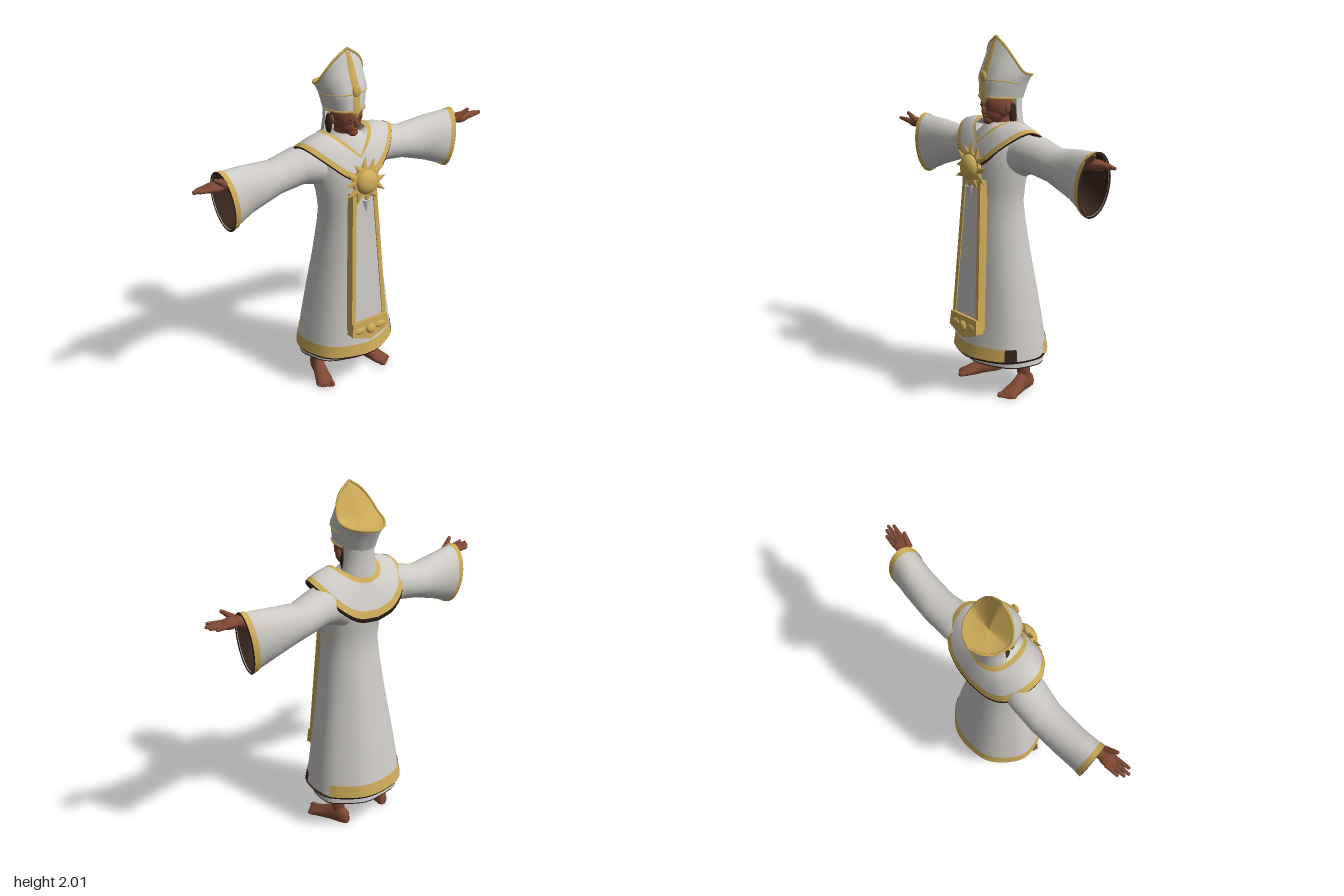
import * as THREE from 'three';

const mat = (name, color) => new THREE.MeshStandardMaterial({ name, color, side: THREE.DoubleSide });
const V = (x, y, z) => new THREE.Vector3(x, y, z);

// Skin a stack of cross-section rings, each an array of points
function loft(rings, closed = true) {
  const n = rings[0].length, idx = [];
  const pos = rings.flat().flatMap(p => [p.x, p.y, p.z]);
  for (let i = 0; i < rings.length - 1; i++) {
    for (let j = 0; j < (closed ? n : n - 1); j++) {
      const k = (j + 1) % n, a = i * n + j, b = i * n + k, c = b + n, d = a + n;
      idx.push(a, b, c, a, c, d);
    }
  }
  const g = new THREE.BufferGeometry();
  g.setAttribute('position', new THREE.Float32BufferAttribute(pos, 3));
  g.setIndex(idx);
  g.computeVertexNormals();
  return g;
}

// Horizontal ring from height, half width, front z and back z, with soft folds
function ring([y, rx, zf, zb, fold = 0], inset = 0, n = 48) {
  return Array.from({ length: n }, (_, j) => {
    const a = j / n * Math.PI * 2, f = 1 + fold * Math.sin(a * 7 + 1);
    return V((rx - inset) * f * Math.sin(a), y, (zf + zb) / 2 + ((zf - zb) / 2 - inset) * f * Math.cos(a));
  });
}

// Upright ring round a sleeve from x, slant, top, bottom, front z, back z and forward cut
function sleeveRing([x, slant, top, bot, zf, zb, cut = 0], inset = 0, n = 28) {
  return Array.from({ length: n }, (_, j) => {
    const a = j / n * Math.PI * 2, c = Math.cos(a), s = Math.sin(a);
    return V(x + slant * c - cut * s, (top + bot) / 2 + ((top - bot) / 2 - inset) * c,
      (zf + zb) / 2 + ((zf - zb) / 2 - inset) * s);
  });
}

// Symmetric closed ring from points running front to back on the left side
function mirrorRing(points, n = 24) {
  const half = new THREE.CatmullRomCurve3(points.map(p => V(...p)));
  const left = Array.from({ length: n + 1 }, (_, i) => half.getPoint(i / n));
  return [...left, ...left.slice(1, n).reverse().map(p => V(-p.x, p.y, p.z))];
}

const mixRings = (A, B, t, lift = 0) => A.map((p, i) => p.clone().lerp(B[i], t).add(V(0, lift, 0)));
const frontHalf = r => [...r.slice(-13), ...r.slice(0, 14)];

export function createModel() {
  const root = new THREE.Group();
  root.name = 'robedFigure';
  const white = mat('white cloth', 0xcdcac6), gold = mat('gold trim', 0xcdaa57);
  const skin = mat('brown skin', 0x7e4833), lining = mat('dark lining', 0x38251d);

  const add = (parent, name, geo, material, p = [0, 0, 0], s = [1, 1, 1]) => {
    const m = new THREE.Mesh(geo, material);
    m.name = name;
    m.position.set(...p);
    m.scale.set(...s);
    parent.add(m);
    return m;
  };
  const ball = (parent, name, material, p, s) => add(parent, name, new THREE.SphereGeometry(1, 20, 14), material, p, s);
  // Tapered round bar between two points, with a rounded far end
  const bar = (parent, name, material, a, b, ra, rb) => {
    const A = V(...a), B = V(...b), d = B.clone().sub(A);
    const m = add(parent, name, new THREE.CylinderGeometry(rb, ra, d.length(), 12), material);
    m.position.copy(A).lerp(B, 0.5);
    m.quaternion.setFromUnitVectors(V(0, 1, 0), d.normalize());
    ball(parent, name + 'Tip', material, b, [rb, rb, rb]);
  };
  const piping = (parent, name, pts, r, closed) => add(parent, name,
    new THREE.TubeGeometry(new THREE.CatmullRomCurve3(pts, closed, 'centripetal'), 96, r, 6, closed), gold);

  // Robe, underskirt and their dark insides
  const robe = [
    [0.235, 0.288, 0.232, -0.268, 0.012], [0.3, 0.28, 0.22, -0.255, 0.012], [0.42, 0.265, 0.205, -0.235, 0.012],
    [0.6, 0.236, 0.19, -0.205, 0.01], [0.8, 0.203, 0.178, -0.17, 0.008], [1.0, 0.177, 0.165, -0.137],
    [1.1, 0.171, 0.16, -0.124], [1.2, 0.182, 0.158, -0.132], [1.3, 0.2, 0.157, -0.155], [1.4, 0.2, 0.14, -0.16],
    [1.46, 0.17, 0.112, -0.14], [1.51, 0.1, 0.085, -0.11], [1.54, 0.06, 0.06, -0.07]];
  add(root, 'robe', loft(robe.map(r => ring(r))), white);
  add(root, 'robeLining', loft(robe.slice(0, 10).map(r => ring(r, 0.008))), lining);
  const under = [[0.178, 0.268, 0.175, -0.245, 0.02], [0.4, 0.245, 0.17, -0.215, 0.01]];
  add(root, 'underskirt', loft(under.map(r => ring(r))), white);
  add(root, 'underskirtLining', loft(under.map(r => ring(r, 0.007))), lining);
  add(root, 'underskirtEdge', loft([ring(under[0], 0.007), ring([0.172, ...under[0].slice(1)]), ring(under[0])]), lining);

  // Hem band: gold round most of the robe, a dark patch and a plain stretch on the left
  const hem = [[0.228, 0.29, 0.234, -0.27, 0.012], [0.297, 0.281, 0.221, -0.256, 0.012]].map(r => ring(r, -0.004));
  const arc = (from, to) => loft(hem.map(r => [...r, ...r].slice(from, to + 1)), false);
  add(root, 'goldHem', arc(15, 55), gold);
  add(root, 'darkHemPatch', arc(7, 9), lining);
  add(root, 'hemUnderside', loft([ring([0.212, 0.262, 0.2, -0.235]), ring([0.214, 0.286, 0.229, -0.265, 0.012]), hem[0]]), lining);

  // Shoulder mantle with gold edges and a thick dark underside
  const outer = mirrorRing([[0, 1.3, 0.18], [0.1, 1.345, 0.178], [0.21, 1.44, 0.125], [0.29, 1.51, 0.02],
    [0.285, 1.475, -0.08], [0.225, 1.385, -0.17], [0.125, 1.315, -0.205], [0, 1.295, -0.216]]);
  const inner = mirrorRing([[0, 1.435, 0.143], [0.045, 1.485, 0.118], [0.085, 1.525, 0.085], [0.108, 1.545, 0.03],
    [0.115, 1.545, -0.035], [0.1, 1.53, -0.09], [0.06, 1.51, -0.13], [0, 1.5, -0.147]]);
  const mantle = (from, to, lift) => loft(Array.from({ length: 7 }, (_, i) => {
    const t = from + (to - from) * i / 6;
    return mixRings(outer, inner, t, 0.018 * Math.sin(Math.PI * t) + lift);
  }));
  add(root, 'mantle', mantle(0, 1, 0), white);
  add(root, 'mantleOuterTrim', mantle(0, 0.15, 0.004), gold);
  add(root, 'mantleNeckTrim', mantle(0.84, 1, 0.004), gold);
  const depth = p => 0.006 + Math.max(0, -p.z) * 0.06;
  const lip = outer.map(p => V(p.x, p.y - depth(p), p.z));
  const tuck = outer.map(p => V(p.x * 0.84, p.y - depth(p) * 0.8, p.z * 0.78));
  add(root, 'mantleLining', loft([tuck, lip, mixRings(outer, inner, 0, 0.004)]), lining);

  // Front stole: white panel, deep gold frame and pointed gold end
  const stole = new THREE.Group();
  stole.name = 'stole';
  stole.position.set(0, 0.4, 0.217);
  stole.rotation.x = -0.065;
  root.add(stole);
  const shape = pts => new THREE.Shape(pts.map(p => new THREE.Vector2(...p)));
  const slab = (s, depth) => new THREE.ExtrudeGeometry(s, { depth, bevelEnabled: false });
  const hole = [[-0.095, 0.05], [0.095, 0.05], [0.055, 0.815], [-0.055, 0.815]];
  add(stole, 'stolePanel', slab(shape(hole), 0.016), white);
  const frame = shape([[-0.122, 0], [0.122, 0], [0.08, 0.84], [-0.08, 0.84]]);
  frame.holes.push(new THREE.Path(hole.map(p => new THREE.Vector2(...p))));
  add(stole, 'stoleBorder', slab(frame, 0.05), gold, [0, 0, -0.028]);
  add(stole, 'stoleEnd', slab(shape([[0, -0.068], [0.07, -0.045], [0.127, -0.02], [0.118, 0.06], [-0.118, 0.06], [-0.127, -0.02], [-0.07, -0.045]]), 0.05), gold, [0, 0, -0.015]);
  ball(stole, 'endRosette', gold, [0, 0, 0.035], [0.03, 0.03, 0.018]);
  for (const x of [-0.07, 0.07]) ball(stole, 'endScroll', gold, [x, 0.005, 0.033], [0.035, 0.022, 0.01]);

  // Sun brooch and its white tassel
  const sun = new THREE.Group();
  sun.name = 'sunBrooch';
  sun.position.set(0, 1.305, 0.19);
  sun.rotation.x = -0.08;
  root.add(sun);
  ball(sun, 'sunFace', gold, [0, 0, 0.006], [0.07, 0.07, 0.045]);
  add(sun, 'sunRim', new THREE.CylinderGeometry(0.08, 0.08, 0.02, 32), gold).rotation.x = Math.PI / 2;
  for (let i = 0; i < 12; i++) {
    const a = i / 12 * Math.PI * 2, len = i % 2 ? 0.062 : 0.075, r = 0.074 + len / 2;
    const ray = add(sun, 'sunRay', new THREE.ConeGeometry(0.021, len, 8), gold, [r * Math.sin(a), r * Math.cos(a), 0], [1, 1, 0.6]);
    ray.rotation.z = -a + (i % 2 ? 0.25 : -0.15);
  }
  const tassel = add(root, 'tassel', new THREE.ConeGeometry(0.024, 0.08, 10), white, [0, 1.16, 0.198], [1, 1, 0.6]);
  tassel.rotation.x = Math.PI;

  // Arms and legs, built on the left and mirrored
  const sleeve = [[0.1, 0, 1.46, 1.2, 0.08, -0.13], [0.2, 0, 1.487, 1.265, 0.075, -0.155], [0.28, 0.005, 1.485, 1.278, 0.06, -0.162],
    [0.42, 0.01, 1.445, 1.255, 0.04, -0.16], [0.6, 0.015, 1.467, 1.195, 0.045, -0.145], [0.743, 0.022, 1.478, 1.135, 0.062, -0.122, 0.016]];
  const cuff = [[0.715, 0.022, 1.476, 1.144, 0.06, -0.126, 0.014], [0.747, 0.022, 1.48, 1.132, 0.064, -0.123, 0.016]];
  const footRings = [[-0.078, 0.012, 0.04], [-0.068, 0.028, 0.075], [-0.03, 0.036, 0.1], [0.03, 0.036, 0.1], [0.07, 0.042, 0.072],
    [0.13, 0.05, 0.045], [0.165, 0.048, 0.035], [0.178, 0.03, 0.02]];
  for (const side of [1, -1]) {
    const half = new THREE.Group();
    half.name = side > 0 ? 'leftLimbs' : 'rightLimbs';
    half.scale.x = side;
    root.add(half);
    add(half, 'sleeve', loft(sleeve.map(r => sleeveRing(r))), white);
    const inside = sleeve.slice(3).map(r => sleeveRing(r, 0.007));
    add(half, 'sleeveLining', loft([inside[0].map(() => V(0.42, 1.35, -0.06)), ...inside]), lining);
    add(half, 'cuff', loft(cuff.map(r => sleeveRing(r, -0.003))), gold);
    add(half, 'cuffEdge', loft([sleeveRing(cuff[1], -0.003), sleeveRing(cuff[1], 0.009)]), lining);

    bar(half, 'forearm', skin, [0.45, 1.36, -0.05], [0.765, 1.425, 0], 0.045, 0.03);
    ball(half, 'palm', skin, [0.805, 1.425, 0.008], [0.06, 0.029, 0.042]);
    for (let i = 0; i < 4; i++) {
      const z = -0.022 + i * 0.019, tip = [0.9, 0.926, 0.936, 0.915][i];
      bar(half, 'finger', skin, [0.825, 1.428, z], [tip, 1.423 + i * 0.006, z * 1.15 + 0.008], 0.015, 0.009);
    }
    bar(half, 'thumb', skin, [0.765, 1.435, 0.028], [0.825, 1.482, 0.05], 0.02, 0.01);

    bar(half, 'shin', skin, [0.14, 0.5, -0.05], [0.158, 0.075, -0.062], 0.06, 0.036);
    const foot = new THREE.Group();
    foot.name = 'foot';
    foot.position.set(0.163, 0, -0.055);
    foot.rotation.y = 0.3;
    half.add(foot);
    add(foot, 'footBody', loft(footRings.map(([z, w, h]) => Array.from({ length: 20 }, (_, j) => {
      const a = j / 20 * Math.PI * 2;
      return V(w * Math.cos(a), h * Math.max(0, 0.4 + 0.6 * Math.sin(a)), z);
    }))), skin);
    for (let i = 0; i < 5; i++) {
      const r = i ? 0.0105 : 0.016;
      ball(foot, 'toe', skin, [-0.034 + i * 0.019, r, 0.178 - i * 0.007], [r, r, 0.026]);
    }
  }

  // Head
  const head = new THREE.Group();
  head.name = 'head';
  root.add(head);
  bar(head, 'neck', skin, [0, 1.47, -0.02], [0, 1.6, 0], 0.06, 0.055);
  ball(head, 'skull', skin, [0, 1.64, 0.01], [0.086, 0.1, 0.09]);
  ball(head, 'jaw', skin, [0, 1.592, 0.035], [0.065, 0.062, 0.06]);
  ball(head, 'chin', skin, [0, 1.55, 0.072], [0.028, 0.022, 0.024]);
  ball(head, 'nose', skin, [0, 1.608, 0.099], [0.011, 0.024, 0.016]);
  ball(head, 'lips', skin, [0, 1.575, 0.09], [0.021, 0.008, 0.01]);
  for (const s of [1, -1]) {
    ball(head, 'ear', skin, [s * 0.088, 1.618, 0.003], [0.011, 0.026, 0.016]);
    ball(head, 'sideHair', lining, [s * 0.084, 1.585, -0.035], [0.016, 0.06, 0.024]);
    ball(head, 'eye', lining, [s * 0.031, 1.632, 0.092], [0.013, 0.004, 0.004]);
  }

  // Cloth hanging behind the neck, tucked into the mantle
  const veil = [[1.47, 0.118, 0.095], [1.51, 0.116, 0.093], [1.55, 0.108, 0.09], [1.595, 0.099, 0.088], [1.64, 0.097, 0.088], [1.69, 0.098, 0.09]];
  add(head, 'neckVeil', loft(veil.map(([y, rx, rz]) => Array.from({ length: 21 }, (_, j) => {
    const a = Math.PI * (0.5 + j / 20);
    return V(rx * Math.sin(a), y, -0.048 + rz * Math.cos(a));
  })), false), white);

  // Mitre: white wall, gold hollow top and gold trims
  const mitre = new THREE.Group();
  mitre.name = 'mitre';
  root.add(mitre);
  const base = mirrorRing([[0, 1.68, 0.107], [0.052, 1.68, 0.092], [0.09, 1.677, 0.045], [0.102, 1.672, -0.02], [0.09, 1.667, -0.085], [0.052, 1.662, -0.132], [0, 1.66, -0.146]]);
  const mid = mirrorRing([[0, 1.79, 0.1], [0.064, 1.79, 0.085], [0.11, 1.785, 0.042], [0.128, 1.77, -0.025], [0.108, 1.75, -0.1], [0.062, 1.735, -0.155], [0, 1.73, -0.182]]);
  const rim = mirrorRing([[0, 2, 0.015], [0.07, 1.952, 0.008], [0.116, 1.888, -0.015], [0.137, 1.82, -0.06], [0.12, 1.795, -0.125], [0.07, 1.785, -0.18], [0, 1.778, -0.205]]);
  const floor = rim.map(() => V(0, 1.812, -0.075));
  add(mitre, 'mitreWall', loft([base, mixRings(base, mid, 0.5), mid, mixRings(mid, rim, 0.5), rim]), white);
  add(mitre, 'mitreTop', loft([rim, mixRings(rim, floor, 0.35, -0.006), mixRings(rim, floor, 0.7, -0.003), floor]), gold);
  add(mitre, 'mitreUnderside', loft([base.map(() => V(0, 1.69, -0.02)), base]), lining);
  piping(mitre, 'rimTrim', rim, 0.007, true);
  piping(mitre, 'baseTrim', frontHalf(base), 0.007, false);
  piping(mitre, 'bandTrim', frontHalf(mixRings(base, mid, 0.85)), 0.004, false);
  const stripe = [[1.67, 0.112, 0.024], [1.79, 0.105, 0.022], [1.9, 0.062, 0.021], [1.985, 0.026, 0.012]];
  add(mitre, 'frontStripe', loft(stripe.map(([y, z, w]) => [V(-w, y, z - 0.006), V(0, y, z + 0.003), V(w, y, z - 0.006)]), false), gold);
  ball(mitre, 'stripeJewel', gold, [0, 1.79, 0.104], [0.025, 0.032, 0.012]);
  const point = add(mitre, 'browPoint', new THREE.ConeGeometry(0.055, 0.05, 4), gold, [0, 1.66, 0.1], [1, 1, 0.25]);
  point.rotation.x = Math.PI;

  return root;
}
